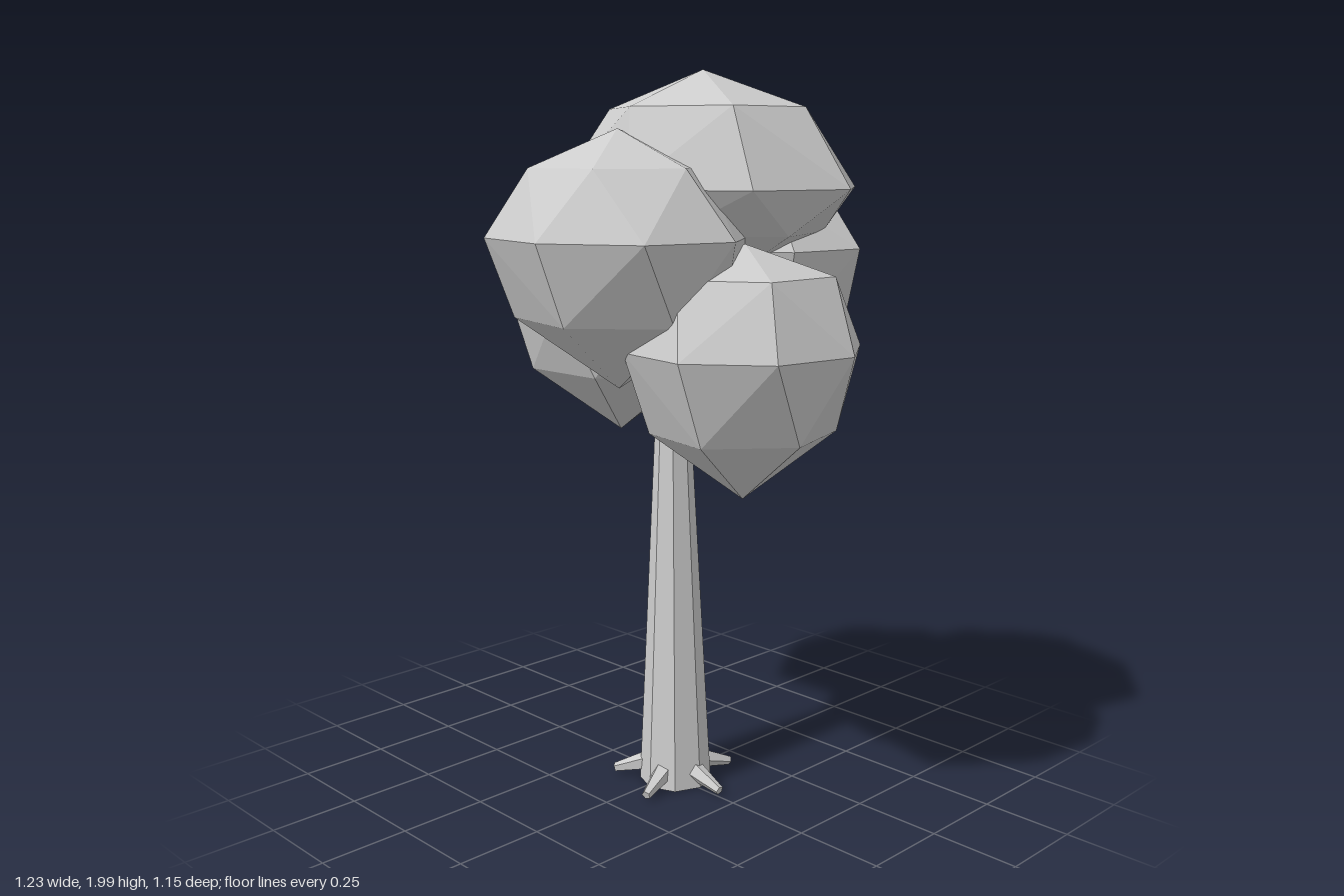
import * as THREE from 'three';
import { ConvexGeometry } from 'three/addons/geometries/ConvexGeometry.js';

const paleGrey = new THREE.MeshStandardMaterial({ color: 0xcccccc, flatShading: true });
paleGrey.name = 'pale grey';

const V = (x, y, z) => new THREE.Vector3(x, y, z);

function mesh(name, geometry) {
  const m = new THREE.Mesh(geometry, paleGrey);
  m.name = name;
  return m;
}

// Tapered straight limb between two points
function limb(name, from, to, r0, r1, sides) {
  const dir = to.clone().sub(from);
  const g = new THREE.CylinderGeometry(r1, r0, dir.length(), sides);
  const m = mesh(name, g);
  m.position.copy(from).addScaledVector(dir, 0.5);
  m.quaternion.setFromUnitVectors(V(0, 1, 0), dir.normalize());
  return m;
}

// Faceted leaf clump: poles, two rings of six and an eight-sided equator.
// upper and lower give each ring's radius, height and phase in degrees;
// lean shifts the top pole sideways.
function clump({ name, at, rx, rz, up, down, spin, upper, lower, lean = [0, 0] }) {
  const points = [];
  const ring = (count, radius, y, phase) => {
    for (let i = 0; i < count; i++) {
      const a = THREE.MathUtils.degToRad(phase + (i * 360) / count);
      const k = Math.max(0, y / up);
      points.push(V(Math.cos(a) * radius * rx + lean[0] * k, y, Math.sin(a) * radius * rz + lean[1] * k));
    }
  };
  ring(1, 0, up, 0);
  ring(6, upper[0], up * upper[1], upper[2]);
  ring(8, 1.02, 0, spin);
  ring(6, lower[0], -down * lower[1], lower[2]);
  ring(1, 0, -down, 0);
  const m = mesh(name, new ConvexGeometry(points));
  m.position.set(...at);
  return m;
}

export function createModel() {
  const tree = new THREE.Group();
  tree.name = 'tree';

  // Trunk: tapered octagon, sheared so the base stays flat
  const height = 1.01;
  const trunk = new THREE.CylinderGeometry(0.052, 0.102, height, 8);
  trunk.translate(0, height / 2, 0);
  const p = trunk.attributes.position;
  for (let i = 0; i < p.count; i++) {
    const t = p.getY(i) / height;
    p.setXYZ(i, p.getX(i) + 0.015 - 0.045 * t, p.getY(i) + 0.01, p.getZ(i) - 0.005 - 0.035 * t);
  }
  trunk.computeVertexNormals();
  tree.add(mesh('trunk', trunk));

  // Five short roots around the base
  const roots = new THREE.Group();
  roots.name = 'roots';
  for (let i = 0; i < 5; i++) {
    const a = (i * Math.PI * 2) / 5;
    const out = (r, y) => V(0.015 + Math.cos(a) * r, y, -0.005 + Math.sin(a) * r);
    roots.add(limb('root', out(0.07, 0.058), out(0.178, 0.026), 0.03, 0.013, 5));
  }
  tree.add(roots);

  // Branches reaching up into the leaf clumps
  const branches = new THREE.Group();
  branches.name = 'branches';
  const fork = V(-0.03, 0.99, -0.04);
  const tips = [[-0.24, 1.27, -0.07], [0.24, 1.2, 0.03], [0.04, 1.38, 0.17], [0.02, 1.35, -0.25], [0.04, 1.55, -0.06]];
  for (const tip of tips) branches.add(limb('branch', fork, V(...tip), 0.036, 0.024, 6));
  tree.add(branches);

  // Crown
  const crown = new THREE.Group();
  crown.name = 'crown';
  const clumps = [
    { name: 'topClump', at: [0.07, 1.7, -0.075], rx: 0.43, rz: 0.37, up: 0.3, down: 0.28, spin: 350,
      upper: [0.66, 0.68, 35], lower: [0.78, 0.42, 10], lean: [0.05, 0.075] },
    { name: 'frontClump', at: [0.065, 1.58, 0.25], rx: 0.355, rz: 0.32, up: 0.27, down: 0.39, spin: 35,
      upper: [0.69, 0.64, 0], lower: [0.8, 0.53, 15] },
    { name: 'backClump', at: [0.035, 1.535, -0.275], rx: 0.33, rz: 0.31, up: 0.23, down: 0.415, spin: 28,
      upper: [0.68, 0.62, 30], lower: [0.83, 0.58, 30] },
    { name: 'rightClump', at: [-0.29, 1.39, -0.08], rx: 0.33, rz: 0.31, up: 0.265, down: 0.4, spin: 31,
      upper: [0.65, 0.78, 0], lower: [0.82, 0.53, 0] },
    { name: 'leftClump', at: [0.32, 1.3, 0.05], rx: 0.3, rz: 0.315, up: 0.265, down: 0.395, spin: 31,
      upper: [0.76, 0.71, 30], lower: [0.79, 0.55, 11] },
  ];
  for (const c of clumps) crown.add(clump(c));
  tree.add(crown);

  return tree;
}
